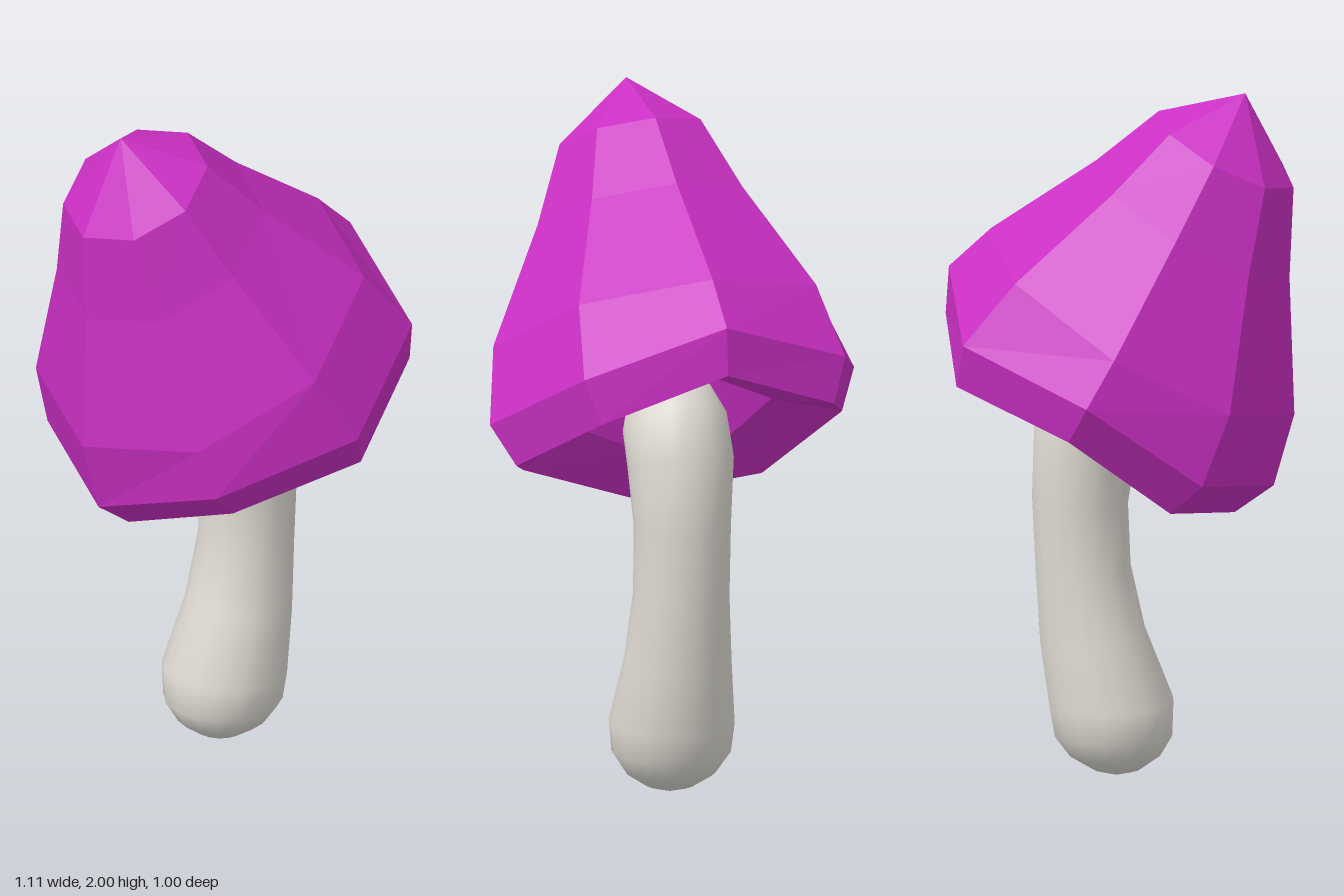
import * as THREE from 'three';
import { mergeVertices } from 'three/addons/utils/BufferGeometryUtils.js';

// Skin a list of tilted rings [z, y, radius, forward tilt in degrees, shifts along the ring's axis].
function loft(rings, sides) {
  const pos = [];
  const index = [];
  rings.forEach(([cz, cy, r, tilt, shifts]) => {
    const t = THREE.MathUtils.degToRad(tilt);
    for (let k = 0; k < sides; k++) {
      const a = (k / sides) * Math.PI * 2;
      const v = r * Math.cos(a);
      const d = shifts ? shifts[k] : 0;
      pos.push(
        r * Math.sin(a),
        cy - v * Math.sin(t) + d * Math.cos(t),
        cz + v * Math.cos(t) + d * Math.sin(t),
      );
    }
  });
  for (let i = 0; i < rings.length - 1; i++) {
    for (let k = 0; k < sides; k++) {
      const a = i * sides + k;
      const b = i * sides + ((k + 1) % sides);
      if (rings[i][2] > 0) index.push(a, b, b + sides);
      if (rings[i + 1][2] > 0) index.push(a, b + sides, a + sides);
    }
  }
  const geometry = new THREE.BufferGeometry();
  geometry.setAttribute('position', new THREE.Float32BufferAttribute(pos, 3));
  geometry.setIndex(index);
  return geometry;
}

export function createModel() {
  const group = new THREE.Group();
  group.name = 'mushroom';

  const capMaterial = new THREE.MeshStandardMaterial({ color: 0xcb30c4 });
  capMaterial.name = 'magenta cap';
  const stemMaterial = new THREE.MeshStandardMaterial({ color: 0xdedad2 });
  stemMaterial.name = 'pale stem';

  // Faceted cap: from the hollow underside, around the uneven rim, up to the tip
  const uneven = [0, 0.06, -0.045, -0.065, 0, -0.06, 0.035, -0.01];
  const capGeometry = loft([
    [0.08, 1.36, 0, 31],
    [0.06, 1.32, 0.15, 31],
    [-0.047, 1.113, 0.32, 33, uneven],
    [-0.086, 1.053, 0.498, 33.5, uneven],
    [-0.025, 1.163, 0.556, 32.9, uneven],
    [0.065, 1.325, 0.505, 30.3],
    [0.21, 1.63, 0.32, 30],
    [0.305, 1.835, 0.22, 28.3],
    [0.36, 2.0, 0, 28],
  ], 8).toNonIndexed();
  capGeometry.computeVertexNormals();
  const cap = new THREE.Mesh(capGeometry, capMaterial);
  cap.name = 'cap';
  group.add(cap);

  // Smooth bent stem with a bulbous foot and a rounded top leaning into the cap
  const stemGeometry = mergeVertices(loft([
    [-0.01, 0, 0, 0],
    [-0.01, 0.02, 0.07, 0],
    [-0.015, 0.06, 0.13, 0],
    [-0.02, 0.12, 0.17, 0],
    [-0.025, 0.21, 0.179, -4],
    [-0.078, 0.4, 0.153, -9],
    [-0.106, 0.6, 0.137, -5],
    [-0.115, 0.8, 0.138, 2],
    [-0.1, 0.985, 0.152, 16],
    [-0.05, 1.09, 0.15, 30],
    [0, 1.16, 0.12, 35],
    [0.03, 1.2, 0, 38],
  ], 16));
  stemGeometry.computeVertexNormals();
  const stem = new THREE.Mesh(stemGeometry, stemMaterial);
  stem.name = 'stem';
  group.add(stem);

  return group;
}
